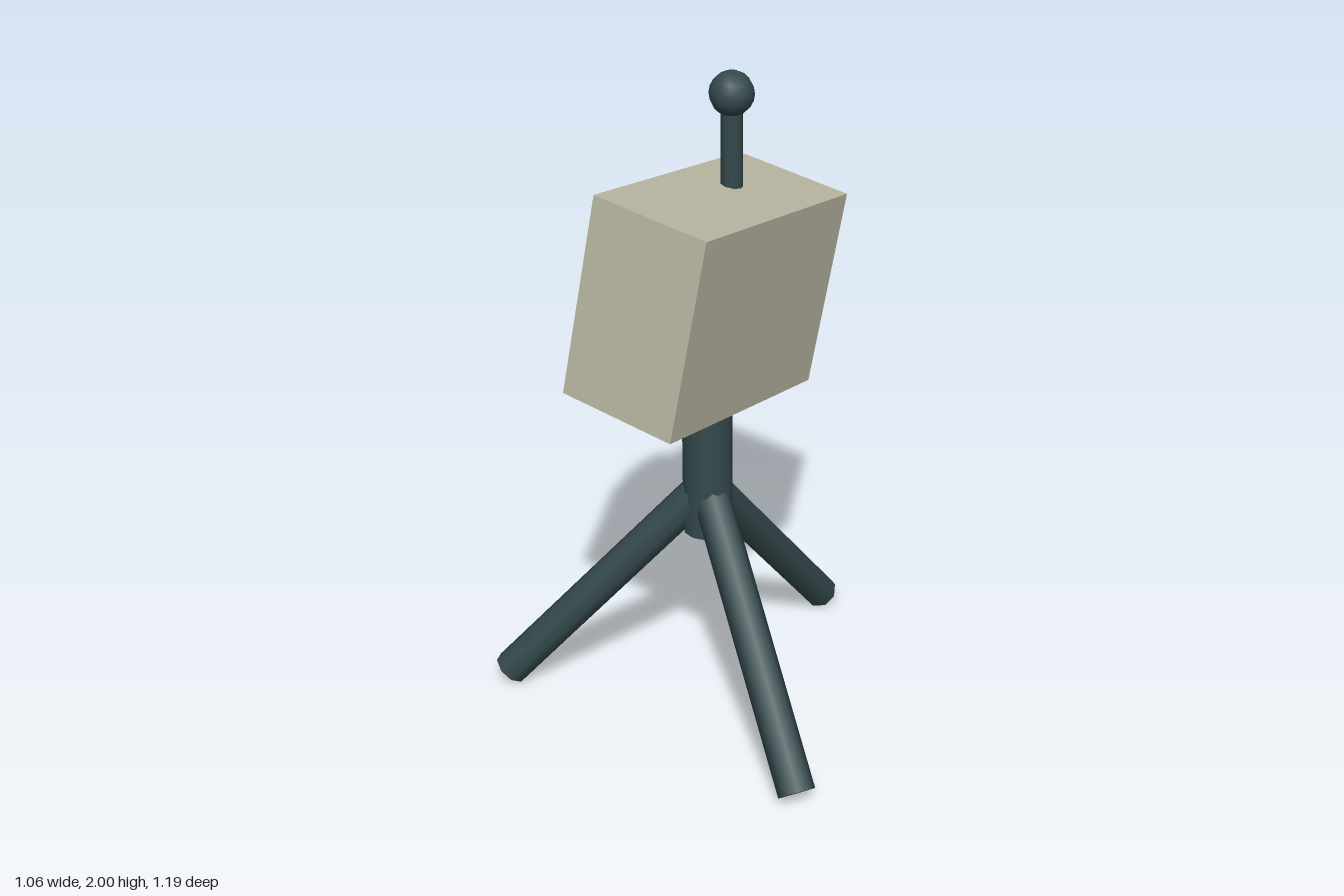
import * as THREE from 'three';

const darkMat = new THREE.MeshStandardMaterial({ color: 0x354a4d });
const boxMat = new THREE.MeshStandardMaterial({ color: 0xbab7a2 });
const discMat = new THREE.MeshStandardMaterial({ color: 0xcd9a5b });

// Closed cylinder running from one point to another
function rod(name, from, to, radius, sides, material) {
  const dir = to.clone().sub(from);
  const mesh = new THREE.Mesh(new THREE.CylinderGeometry(radius, radius, dir.length(), sides), material);
  mesh.name = name;
  mesh.position.copy(from).add(to).multiplyScalar(0.5);
  mesh.quaternion.setFromUnitVectors(new THREE.Vector3(0, 1, 0), dir.normalize());
  return mesh;
}

export function createModel() {
  const model = new THREE.Group();
  model.name = 'boxOnTripod';
  const v = (x, y, z) => new THREE.Vector3(x, y, z);
  const cx = -0.145; // tripod axis

  // Three splayed legs, 120 degrees apart
  const legs = new THREE.Group();
  legs.name = 'legs';
  for (let i = 0; i < 3; i++) {
    const a = (i * Math.PI * 2) / 3;
    const foot = v(cx + 0.632 * Math.cos(a), 0.043, 0.632 * Math.sin(a));
    legs.add(rod('leg' + (i + 1), foot, v(cx, 0.75, 0), 0.056, 8, darkMat));
  }
  model.add(legs);

  // Central post
  model.add(rod('post', v(cx, 0.595, 0), v(cx, 1.12, 0), 0.075, 12, darkMat));

  // Tilted housing
  const housing = new THREE.Mesh(new THREE.BoxGeometry(0.705, 0.6, 0.382), boxMat);
  housing.name = 'housing';
  housing.position.set(-0.144, 1.375, 0);
  housing.rotation.set(0.12, 0, -0.13);
  model.add(housing);

  // Upright disc on the back
  model.add(rod('backDisc', v(-0.143, 1.397, -0.258), v(-0.143, 1.397, -0.197), 0.2, 12, discMat));

  // Antenna with ball tip
  model.add(rod('antenna', v(-0.02, 1.63, 0), v(-0.02, 1.92, 0), 0.032, 8, darkMat));
  const ball = new THREE.Mesh(new THREE.SphereGeometry(0.065, 12, 10), darkMat);
  ball.name = 'antennaBall';
  ball.position.set(-0.02, 1.936, 0);
  model.add(ball);

  return model;
}
